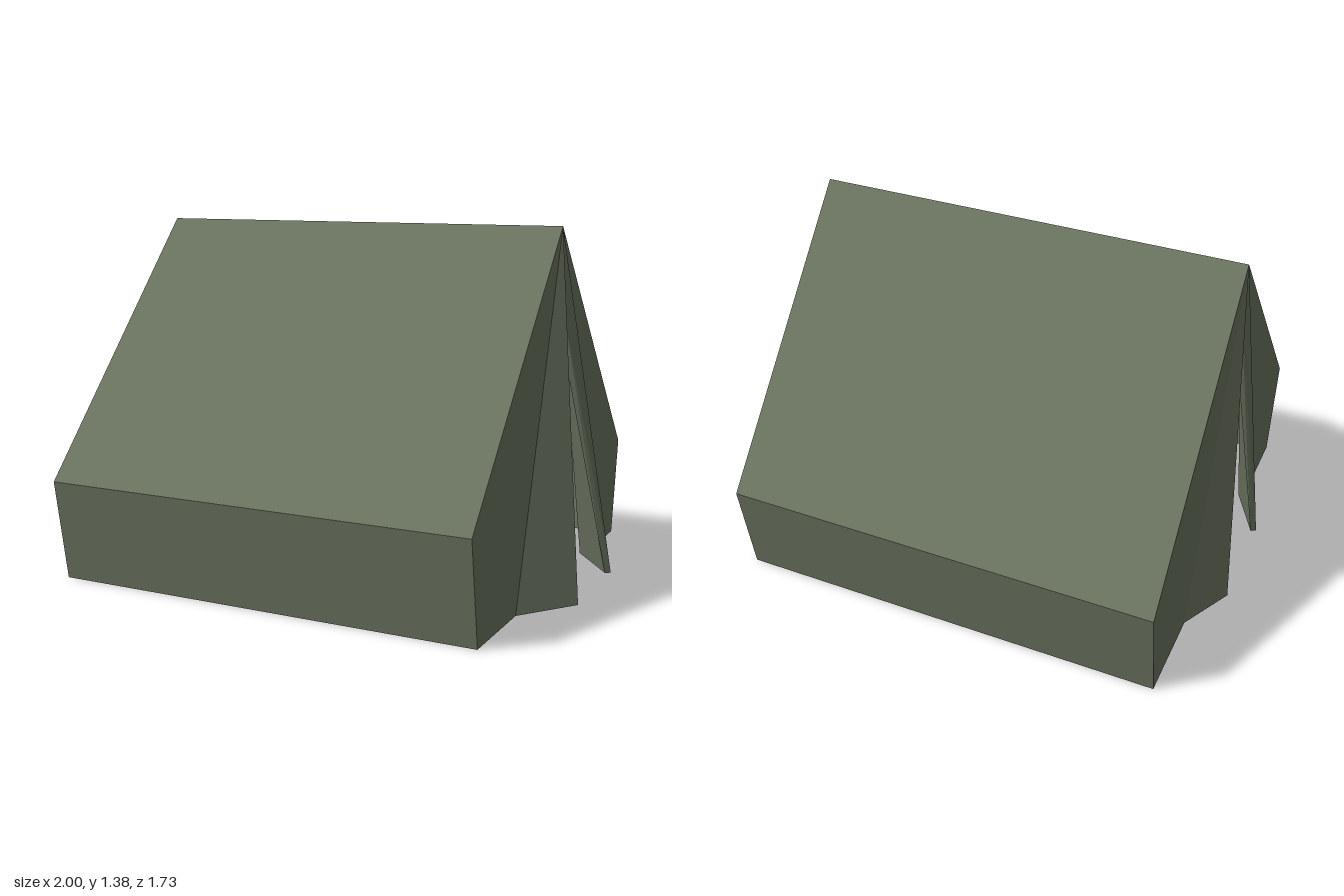
import * as THREE from 'three';

const canvas = new THREE.MeshStandardMaterial({ color: 0x6b7360, flatShading: true });
const metal = new THREE.MeshStandardMaterial({ color: 0x77757a, flatShading: true });

// Ends of the ridge: x sign, wall position, flap tip position
const ENDS = [
  { name: 'left', s: 1, wall: 0.835, tip: 1.0 },
  { name: 'right', s: -1, wall: 0.89, tip: 1.0 },
];

// Corner points of one quarter of the tent, outer skin or inner skin
function corners(end, sz, inner) {
  const t = inner ? 0.025 : 0;
  const p = (x, y, z) => [end.s * x, y, sz * z];
  const w = end.wall - t;
  return {
    ridge: p(w, 1.375 - t * 1.5, 0),
    eave: p(w, 0.4 - t * 0.45, 0.865 - t),
    foot: p(w, 0, 0.8 - t),
    crease: p(w, 0, 0.43 - t * 0.5),
    tip: p(end.tip - t * 0.8, 0, 0.215 - t * 0.55),
    slit: p(w, 1.11 - t * 0.4, 0),
  };
}

// Collects flat polygons; flip reverses the winding for mirrored pieces
function panelMesh(name, polygons) {
  const pos = [];
  for (const { pts, flip } of polygons) {
    const q = flip ? [...pts].reverse() : pts;
    for (let i = 1; i < q.length - 1; i++) pos.push(...q[0], ...q[i], ...q[i + 1]);
  }
  const g = new THREE.BufferGeometry();
  g.setAttribute('position', new THREE.Float32BufferAttribute(pos, 3));
  g.computeVertexNormals();
  const mesh = new THREE.Mesh(g, canvas);
  mesh.name = name;
  return mesh;
}

// Outer skin, reversed inner skin, and the hem strips that join them
function thickPanels(o, i, faces, hems, flip) {
  return [
    ...faces.map((f) => ({ pts: f.map((k) => o[k]), flip })),
    ...faces.map((f) => ({ pts: f.map((k) => i[k]), flip: !flip })),
    ...hems.map(([a, b]) => ({ pts: [o[a], i[a], i[b], o[b]], flip })),
  ];
}

export function createModel() {
  const tent = new THREE.Group();
  tent.name = 'tent';

  for (const [side, sz] of [['front', 1], ['back', -1]]) {
    // Roof slope and low side wall
    const span = (inner) => {
      const l = corners(ENDS[0], sz, inner), r = corners(ENDS[1], sz, inner);
      return { ridgeL: l.ridge, eaveL: l.eave, footL: l.foot, ridgeR: r.ridge, eaveR: r.eave, footR: r.foot };
    };
    const o = span(false), i = span(true);
    tent.add(panelMesh(side + 'Roof', thickPanels(o, i, [['ridgeL', 'ridgeR', 'eaveR', 'eaveL']], [], sz < 0)));
    tent.add(panelMesh(side + 'Wall', thickPanels(o, i, [['eaveL', 'eaveR', 'footR', 'footL']], [['footR', 'footL']], sz < 0)));

    // End wall and the door flap pulled outward
    for (const end of ENDS) {
      const eo = corners(end, sz, false), ei = corners(end, sz, true);
      const flip = end.s * sz < 0;
      tent.add(panelMesh(`${side} ${end.name} endWall`,
        thickPanels(eo, ei, [['ridge', 'eave', 'foot', 'crease']], [['foot', 'crease']], flip)));
      tent.add(panelMesh(`${side} ${end.name} doorFlap`,
        thickPanels(eo, ei, [['ridge', 'crease', 'tip'], ['ridge', 'tip', 'slit']],
          [['crease', 'tip'], ['tip', 'slit']], flip)));
    }
  }

  // Two-stage pole inside each doorway
  for (const end of ENDS) {
    const pole = new THREE.Group();
    pole.name = end.name + 'Pole';
    for (const [name, radius, y0, y1] of [['lowerTube', 0.021, 0, 0.31], ['upperTube', 0.017, 0.31, 1.33]]) {
      const tube = new THREE.Mesh(new THREE.CylinderGeometry(radius, radius, y1 - y0, 8), metal);
      tube.name = name;
      tube.position.y = (y0 + y1) / 2;
      pole.add(tube);
    }
    pole.position.x = end.s * (end.wall - 0.03);
    tent.add(pole);
  }
  return tent;
}
